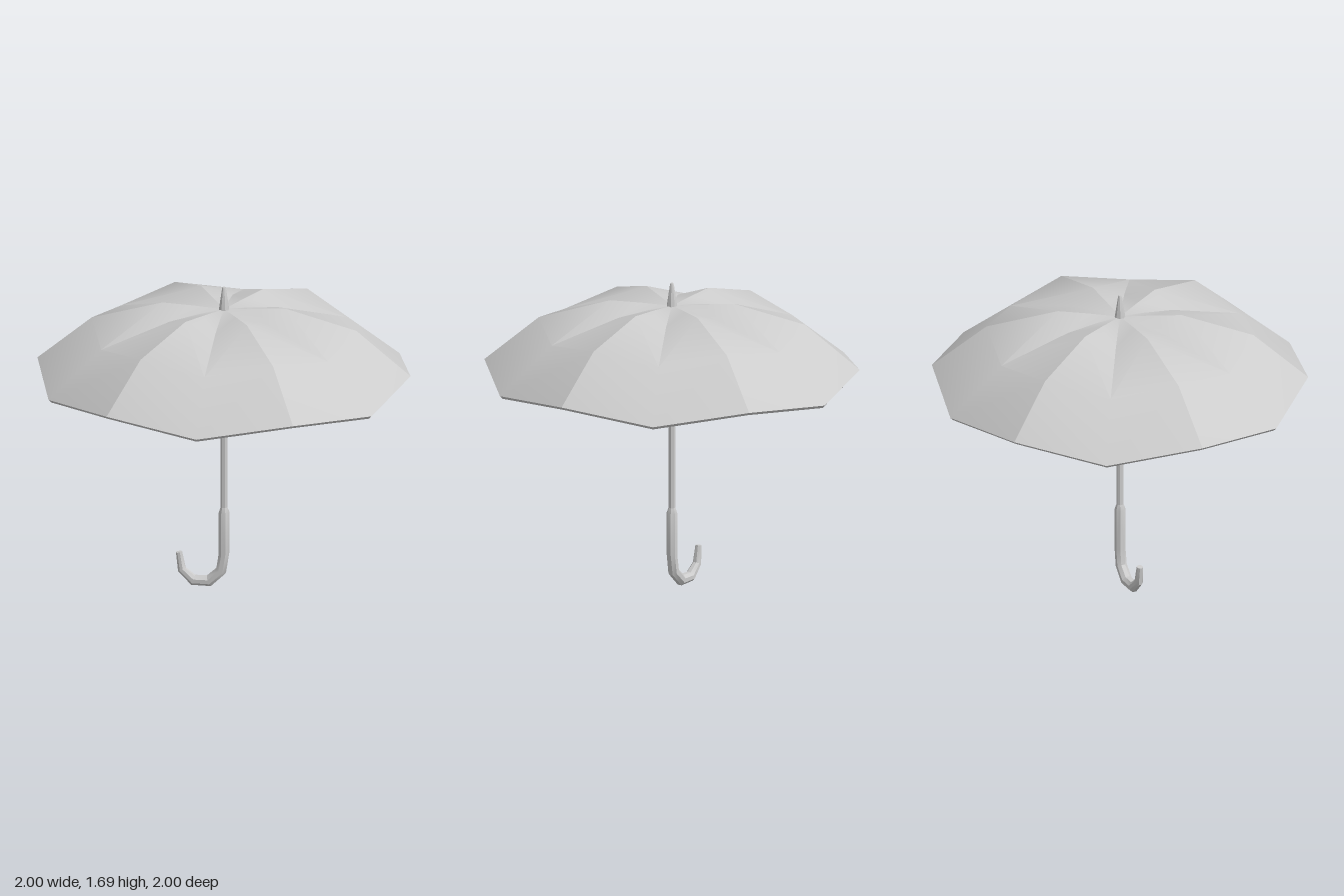
import * as THREE from 'three';
import { toCreasedNormals } from 'three/addons/utils/BufferGeometryUtils.js';

const material = new THREE.MeshStandardMaterial({ color: 0xcccccc });

// Skins a list of closed rings (each an array of Vector3)
function skin(name, rings, crease) {
  const n = rings[0].length, pos = [], index = [];
  rings.forEach(ring => ring.forEach(p => pos.push(p.x, p.y, p.z)));
  for (let i = 0; i < rings.length - 1; i++) {
    for (let j = 0; j < n; j++) {
      const a = i * n + j, b = i * n + (j + 1) % n;
      // diagonals mirror about each rib
      if (j % 2) index.push(a, b, a + n, b, b + n, a + n);
      else index.push(a, b, b + n, a, b + n, a + n);
    }
  }
  const geometry = new THREE.BufferGeometry();
  geometry.setAttribute('position', new THREE.Float32BufferAttribute(pos, 3));
  geometry.setIndex(index);
  const mesh = new THREE.Mesh(toCreasedNormals(geometry, crease), material);
  mesh.name = name;
  return mesh;
}

// Sweeps an octagon along a path of [x, y, radius] lying in the z = 0 plane
function sweep(name, path) {
  const first = path[0], last = path[path.length - 1];
  const sections = [[first[0], first[1], 0.001], ...path, [last[0], last[1], 0.001]];
  const rings = sections.map(([x, y, r], k) => {
    const i = Math.min(Math.max(k - 1, 0), path.length - 1);
    const p = path[Math.max(i - 1, 0)], q = path[Math.min(i + 1, path.length - 1)];
    const t = new THREE.Vector2(q[0] - p[0], q[1] - p[1]).normalize();
    return Array.from({ length: 8 }, (_, j) => {
      const a = (j + 0.5) * Math.PI / 4, c = r * Math.cos(a);
      return new THREE.Vector3(x - t.y * c, y + t.x * c, r * Math.sin(a));
    });
  });
  return skin(name, rings, 0.5);
}

// Canopy: six raised ribs alternating with six sagging seams, with thickness
function canopy() {
  const rib = [[0.01, 1.565], [0.17, 1.577], [0.33, 1.585], [0.71, 1.48], [1, 1.24]];
  const seam = [[0.01, 1.565], [0.14, 1.556], [0.31, 1.535], [0.7, 1.428], [1, 1.185]];
  // outer profile, then the inner one back to the centre
  const shell = profile => {
    const inner = profile.map(([r, y], i) => {
      const edge = i / (profile.length - 1);
      return [r - 0.015 * edge, y - 0.016];
    });
    return [...profile, ...inner.reverse()];
  };
  const ribShell = shell(rib), seamShell = shell(seam);
  const rings = ribShell.map((_, i) => Array.from({ length: 12 }, (_, j) => {
    const [r, y] = (j % 2 ? seamShell : ribShell)[i], a = j * Math.PI / 6;
    return new THREE.Vector3(r * Math.cos(a), y, r * Math.sin(a));
  }));
  return skin('canopy', rings, 0.42);
}

export function createModel() {
  const group = new THREE.Group();
  group.name = 'umbrella';
  group.add(canopy());

  // Pole, sliding collar and tip
  group.add(sweep('shaft', [[0, 0.42, 0.019], [0, 1.58, 0.019]]));
  group.add(sweep('collar', [[0, 1.185, 0.029], [0, 1.22, 0.029]]));
  group.add(sweep('tip', [[0, 1.54, 0.032], [0, 1.58, 0.026], [0, 1.68, 0.011], [0, 1.69, 0.007]]));

  // Hooked handle
  group.add(sweep('handle', [
    [0, 0.45, 0.019], [0, 0.42, 0.029], [0, 0.19, 0.029], [-0.015, 0.092, 0.03],
    [-0.08, 0.031, 0.031], [-0.165, 0.031, 0.029], [-0.226, 0.088, 0.023], [-0.241, 0.185, 0.017],
  ]));
  return group;
}
